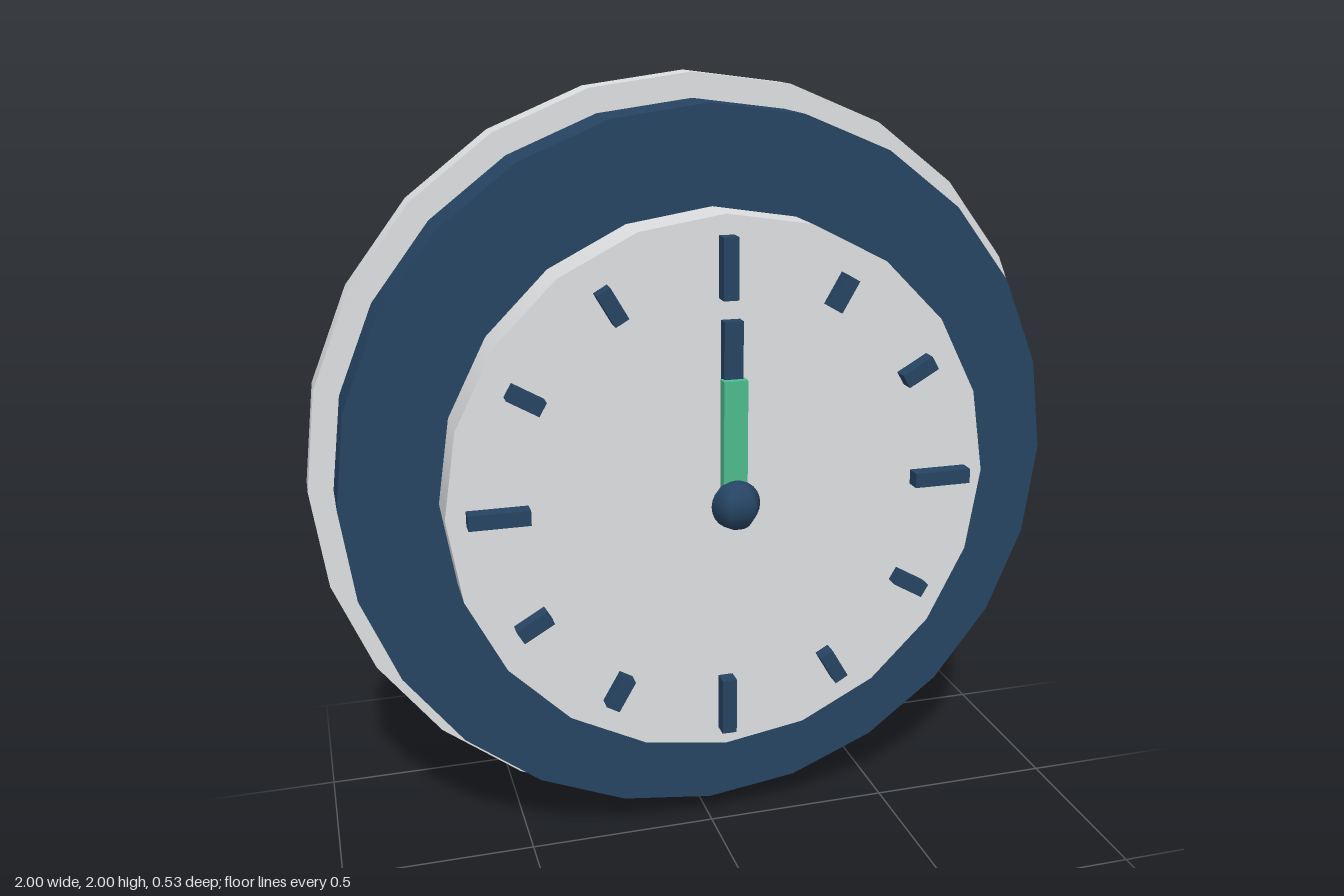
import * as THREE from 'three';

export function createModel() {
  const clock = new THREE.Group();
  clock.name = 'wallClock';

  const paleGrey = new THREE.MeshStandardMaterial({ name: 'paleGrey', color: 0xdedfe1 });
  const navy = new THREE.MeshStandardMaterial({ name: 'navy', color: 0x264463 });
  const green = new THREE.MeshStandardMaterial({ name: 'green', color: 0x4cbb8c });

  const add = (name, geometry, material, x, y, z) => {
    const mesh = new THREE.Mesh(geometry, material);
    mesh.name = name;
    mesh.position.set(x, y, z);
    clock.add(mesh);
    return mesh;
  };

  // Upright disc filling z0 to z1
  const disc = (name, radius, sides, z0, z1, material) =>
    add(name, new THREE.CylinderGeometry(radius, radius, z1 - z0, sides).rotateX(Math.PI / 2),
      material, 0, 1, (z0 + z1) / 2);

  disc('backPlate', 1, 24, -0.265, -0.176, paleGrey);
  disc('rim', 0.937, 24, -0.176, -0.018, navy);
  disc('dial', 0.695, 20, 0.003, 0.127, paleGrey);

  // Hour markers, longer at every quarter
  for (let i = 0; i < 12; i++) {
    const angle = (i * Math.PI) / 6;
    const quarter = i % 3 === 0;
    const radius = quarter ? 0.57 : 0.572;
    const marker = add(quarter ? 'quarterMarker' : 'hourMarker',
      new THREE.BoxGeometry(0.038, quarter ? 0.15 : 0.088, 0.042), navy,
      Math.sin(angle) * radius, 1 + Math.cos(angle) * radius, 0.146);
    marker.rotation.z = -angle;
  }

  // Hands, both pointing straight up
  add('minuteHand', new THREE.BoxGeometry(0.047, 0.45, 0.03), navy, 0, 1.225, 0.175);
  add('hourHand', new THREE.BoxGeometry(0.06, 0.31, 0.03), green, 0, 1.155, 0.194);

  // Centre knob
  add('centreKnob', new THREE.SphereGeometry(0.062, 6, 12), navy, 0, 1, 0.211);

  return clock;
}
